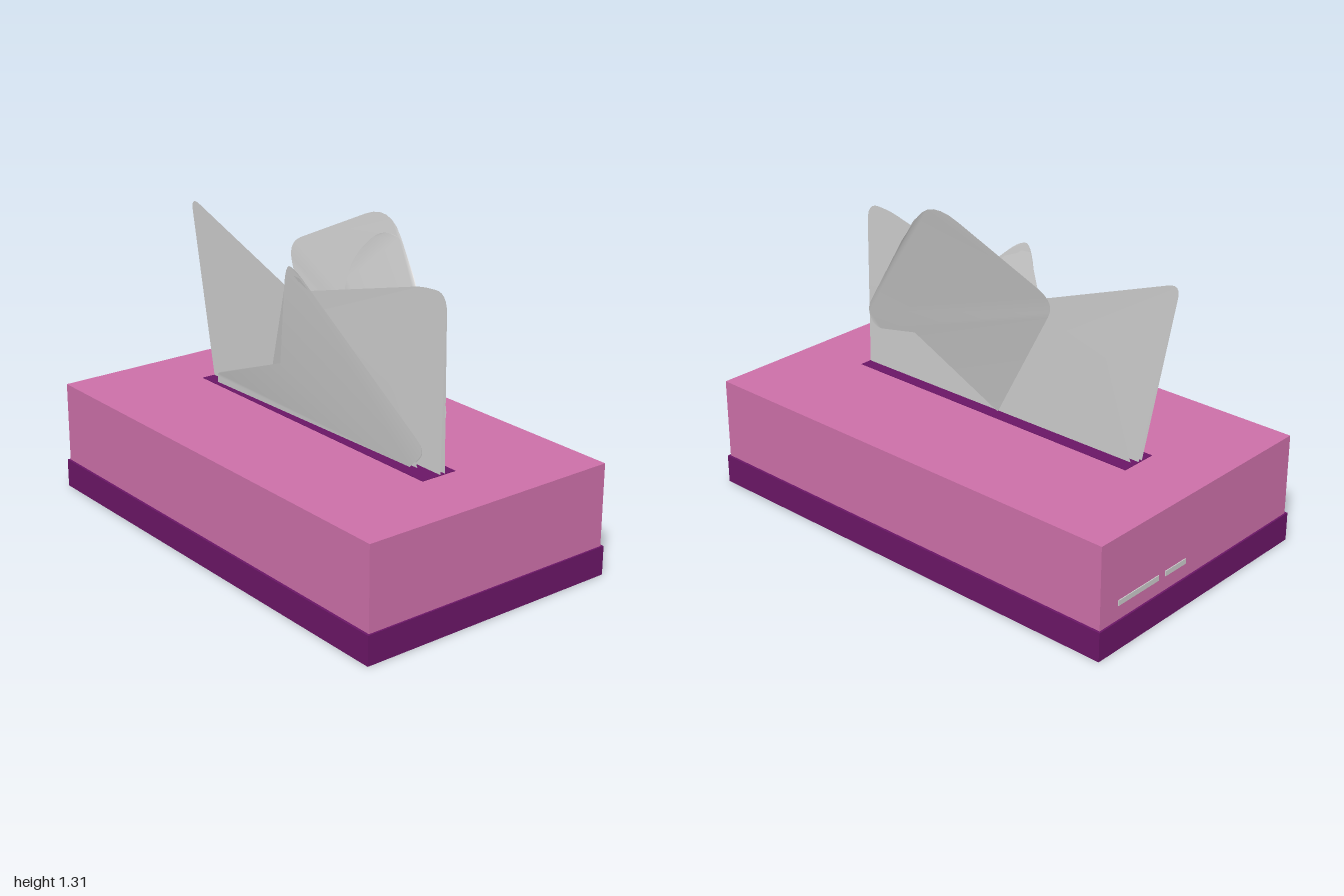
import * as THREE from 'three';

const pink = new THREE.MeshStandardMaterial({ color: 0xcc6fa8 });
const purple = new THREE.MeshStandardMaterial({ color: 0x6a1666 });
const paper = new THREE.MeshStandardMaterial({ color: 0xcccccc, side: THREE.DoubleSide });
const grey = new THREE.MeshStandardMaterial({ color: 0xcccccc });

function box(name, material, size, position) {
  const mesh = new THREE.Mesh(new THREE.BoxGeometry(...size), material);
  mesh.position.set(...position);
  mesh.name = name;
  return mesh;
}

// One paper layer: corners [x, y, z, roundness] joined into a filled outline
function layer(name, corners) {
  const pts = [];
  const at = (i) => new THREE.Vector3(...corners[(i + corners.length) % corners.length].slice(0, 3));
  corners.forEach((corner, i) => {
    const r = corner[3] || 0;
    const p = at(i);
    if (!r) return pts.push(p);
    const toward = (q) => p.clone().lerp(q, Math.min(0.45, r / p.distanceTo(q)));
    pts.push(...new THREE.QuadraticBezierCurve3(toward(at(i - 1)), p, toward(at(i + 1))).getPoints(6));
  });
  const flat = pts.map((p) => new THREE.Vector2(p.x, p.y));
  const geometry = new THREE.BufferGeometry().setFromPoints(pts);
  geometry.setIndex(THREE.ShapeUtils.triangulateShape(flat, []).flat());
  geometry.computeVertexNormals();
  const mesh = new THREE.Mesh(geometry, paper);
  mesh.name = name;
  return mesh;
}

function tissue(name, layers) {
  const group = new THREE.Group();
  group.name = name;
  layers.forEach((corners, i) => group.add(layer(`${name}Layer${i + 1}`, corners)));
  return group;
}

export function createModel() {
  const model = new THREE.Group();
  model.name = 'tissueBox';

  // Carton, base tray and opening
  model.add(
    box('base', purple, [2, 0.12, 1.16], [0, 0.06, 0]),
    box('carton', pink, [1.985, 0.34, 1.14], [0, 0.29, 0]),
    box('slot', purple, [1.405, 0.004, 0.16], [0, 0.46, 0]),
  );

  // Two small strips on one end
  for (const [z, length] of [[-0.355, 0.23], [-0.14, 0.12]])
    model.add(box('endStrip', grey, [0.006, 0.022, length], [-0.993, 0.19, z]));

  // Front tissue, leaning forward
  model.add(tissue('frontTissue', [
    [[-0.62, 0.46, 0.06], [-0.62, 0.505, 0.062, 0.03], [-0.13, 0.69, 0.1],
      [-0.04, 1.13, 0.14, 0.11], [0.03, 1.11, 0.138, 0.06], [0.66, 0.55, 0.03, 0.06], [0.57, 0.46, 0.03]],
    [[-0.34, 0.46, 0.01], [-0.04, 1.09, 0.134], [0.04, 1.085, 0.134],
      [0.66, 0.55, 0.03, 0.06], [0.57, 0.46, 0.01]],
  ]));

  // Upright tissue with its peak at -x
  model.add(tissue('leftPeakTissue', [
    [[-0.7, 0.46, 0.022], [-0.845, 1.21, 0.022, 0.06], [0.45, 0.74, 0.015, 0.04], [0.6, 0.46, 0.015]],
    [[-0.7, 0.46, 0.002], [-0.845, 1.21, 0.021, 0.06], [-0.1, 0.93, 0.008], [0.3, 0.46, 0.002]],
  ]));

  // Upright tissue with its peak at +x
  model.add(tissue('rightPeakTissue', [
    [[0.7, 0.46, -0.008], [0.7, 1.16, -0.018, 0.08], [0.56, 1.15, -0.018, 0.04],
      [-0.2, 0.84, -0.008], [-0.3, 0.46, -0.004]],
    [[0.7, 0.46, -0.03], [0.7, 1.16, -0.02, 0.08], [0.56, 1.15, -0.02, 0.04],
      [-0.55, 0.85, -0.02], [-0.68, 0.46, -0.02]],
  ]));

  // Tallest tissue, leaning backward
  model.add(tissue('backTissue', [
    [[-0.02, 0.46, -0.03], [-0.4, 1.04, -0.155, 0.05], [-0.38, 1.095, -0.165, 0.05],
      [0.17, 1.345, -0.2, 0.15], [0.37, 1.12, -0.15], [0.71, 0.7, -0.03, 0.06],
      [0.67, 0.62, -0.03, 0.06], [0.43, 0.67, -0.035]],
    [[-0.02, 0.46, -0.03], [0.02, 1.1, -0.125, 0.1], [0.16, 1.25, -0.145, 0.1],
      [0.27, 1.25, -0.17, 0.05], [0.37, 1.12, -0.145], [0.71, 0.7, -0.03, 0.06], [0.43, 0.67, -0.03]],
  ]));

  return model;
}
